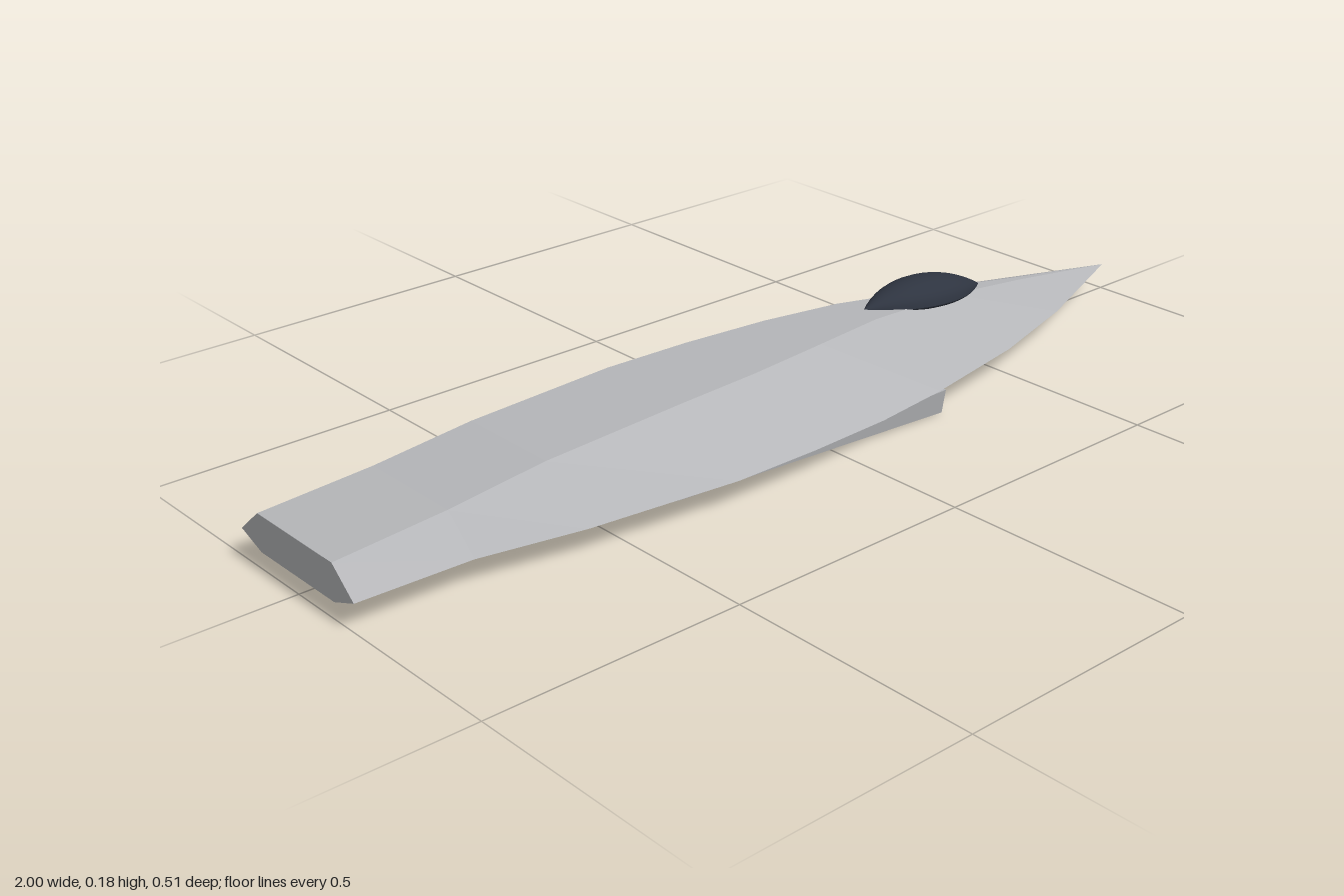
import * as THREE from 'three';

// Faceted solid through rings of [x, y, z] points, ordered counterclockwise seen from +x, x ascending
function loft(rings, material, name) {
  const pos = [];
  const tri = (...points) => {
    const [a, b, c] = points.map((p) => new THREE.Vector3(...p));
    if (b.clone().sub(a).cross(c.clone().sub(a)).length() > 1e-9) points.forEach((p) => pos.push(...p));
  };
  const n = rings[0].length;
  for (let i = 0; i < rings.length - 1; i++) {
    for (let j = 0; j < n; j++) {
      const k = (j + 1) % n;
      const a = rings[i], b = rings[i + 1];
      tri(a[j], a[k], b[k]);
      tri(a[j], b[k], b[j]);
    }
  }
  const first = rings[0], last = rings[rings.length - 1];
  for (let j = 1; j < n - 1; j++) {
    tri(first[0], first[j + 1], first[j]);
    tri(last[0], last[j], last[j + 1]);
  }
  const geometry = new THREE.BufferGeometry();
  geometry.setAttribute('position', new THREE.Float32BufferAttribute(pos, 3));
  geometry.computeVertexNormals();
  const mesh = new THREE.Mesh(geometry, material);
  mesh.name = name;
  return mesh;
}

// Hull: six-sided sections with a sharp side edge and flat deck and belly
function createHull(material) {
  const edgeY = 0.056;
  // x, side half width, deck y, deck half width, belly y, belly half width
  const stations = [
    [-1, 0.169, 0.105, 0.112, 0.034, 0.11],
    [-0.78, 0.177, 0.119, 0.109, 0.025, 0.115],
    [-0.58, 0.218, 0.14, 0.107, 0.016, 0.13],
    [-0.28, 0.253, 0.153, 0.105, 0.005, 0.14],
    [-0.1, 0.254, 0.154, 0.096, 0.004, 0.135],
    [0.08, 0.247, 0.154, 0.078, 0.005, 0.122],
    [0.25, 0.226, 0.15, 0.054, 0.01, 0.1],
    [0.5, 0.178, 0.126, 0.022, 0.019, 0.06],
    [0.72, 0.112, 0.096, 0.008, 0.031, 0.025],
    [1, 0, edgeY, 0, edgeY, 0],
  ];
  const rings = stations.map(([x, w, t, tw, b, bw]) => [
    [x, t, tw], [x, edgeY, w], [x, b, bw], [x, b, -bw], [x, edgeY, -w], [x, t, -tw],
  ]);
  return loft(rings, material, 'hull');
}

// Intake: three thin walls around an open mouth, converging to a point at the back
function createIntake(side, material) {
  const intake = new THREE.Group();
  intake.name = side > 0 ? 'leftIntake' : 'rightIntake';
  const tip = [-0.37, 0.023, 0.19];
  const walls = {
    outerWall: [[0.052, 0.223], [0.002, 0.214], [0.002, 0.207], [0.052, 0.216]],
    innerWall: [[0.027, 0.144], [0.002, 0.15], [0.002, 0.143], [0.027, 0.137]],
    floor: [[0.006, 0.212], [0.002, 0.212], [0.002, 0.145], [0.006, 0.145]],
  };
  for (const [name, corners] of Object.entries(walls)) {
    const rings = [corners.map(() => tip), corners.map(([y, z]) => [0.27, y, z])]
      .map((ring) => ring.map(([x, y, z]) => [x, y, z * side]));
    if (side < 0) rings.forEach((ring) => ring.reverse());
    intake.add(loft(rings, material, name));
  }
  return intake;
}

// Canopy: smooth spindle with pointed ends, flattened below and tilted along the deck
function createCanopy(material) {
  const half = 0.165;
  const profile = [];
  for (let i = 0; i <= 16; i++) {
    const u = i / 8 - 1;
    profile.push(new THREE.Vector2(0.057 * (1 - Math.abs(u) ** 2.1), u * half));
  }
  const geometry = new THREE.LatheGeometry(profile, 28);
  geometry.rotateZ(-Math.PI / 2);
  const p = geometry.attributes.position;
  for (let i = 0; i < p.count; i++) {
    const y = p.getY(i);
    p.setY(i, y * (y > 0 ? 0.78 : 0.25) - 0.09 * p.getX(i));
  }
  geometry.computeVertexNormals();
  const canopy = new THREE.Mesh(geometry, material);
  canopy.name = 'canopy';
  canopy.position.set(0.435, 0.132, 0);
  return canopy;
}

export function createModel() {
  const hullGrey = new THREE.MeshStandardMaterial({ color: 0xb4b5b8 });
  hullGrey.name = 'hull grey';
  const darkGlass = new THREE.MeshStandardMaterial({ color: 0x2e3440 });
  darkGlass.name = 'dark glass';

  const model = new THREE.Group();
  model.name = 'spacecraft';
  model.add(createHull(hullGrey), createCanopy(darkGlass));
  for (const side of [1, -1]) model.add(createIntake(side, hullGrey));
  return model;
}
